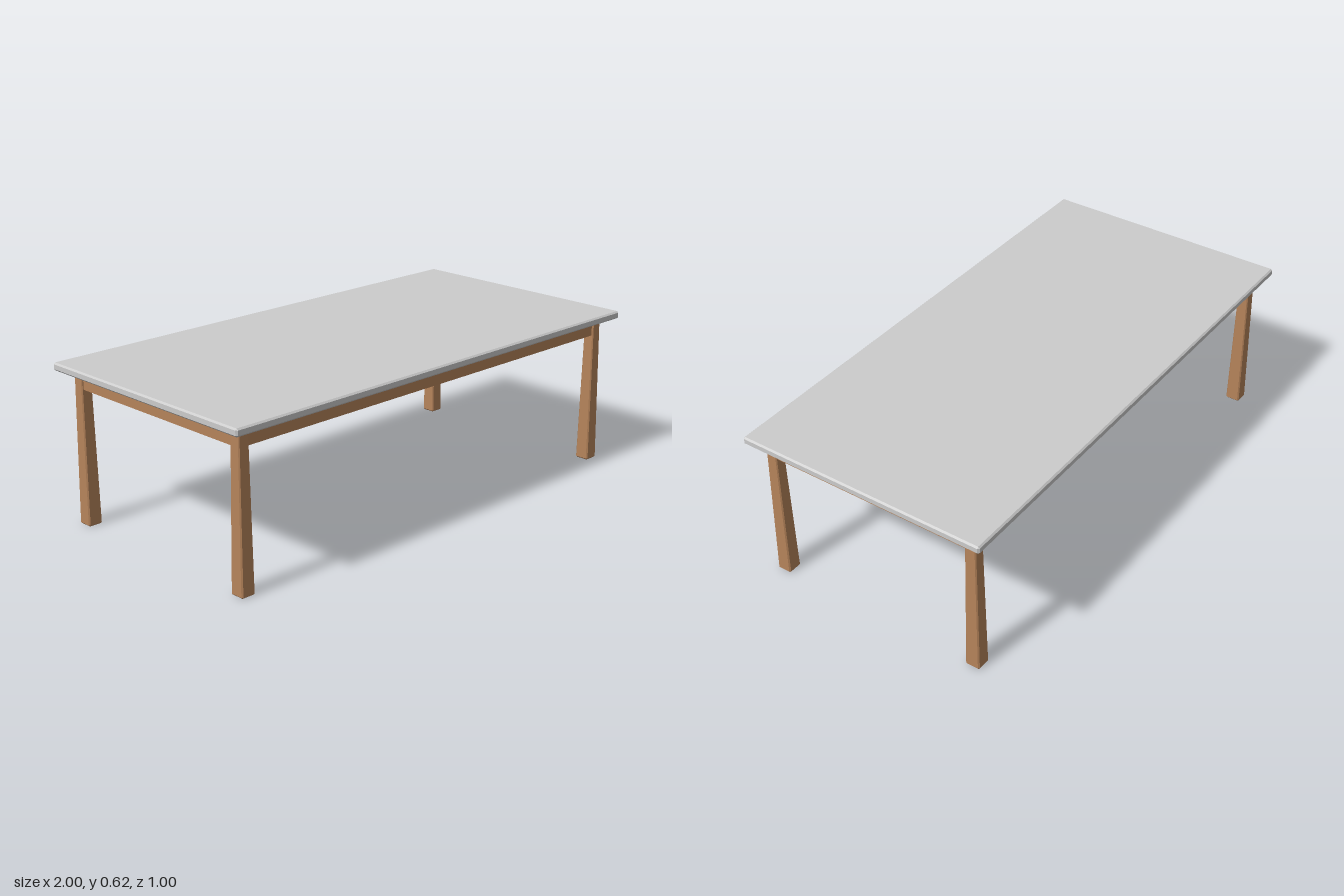
import * as THREE from 'three';
import { ConvexGeometry } from 'three/addons/geometries/ConvexGeometry.js';

const wood = new THREE.MeshStandardMaterial({ color: 0xb5835a, flatShading: true });
const grey = new THREE.MeshStandardMaterial({ color: 0xcccccc, flatShading: true });

// Box with chamfered edges, standing on y = 0; its top is scaled by taper.
function chamferedBox(w, h, d, c, taper = 1) {
  const points = [];
  for (const sx of [-1, 1]) for (const sy of [-1, 1]) for (const sz of [-1, 1]) {
    for (let axis = 0; axis < 3; axis++) {
      // each corner becomes three points, one on each adjoining face
      const inset = [c, c, c];
      inset[axis] = 0;
      const s = sy > 0 ? taper : 1;
      points.push(new THREE.Vector3(
        sx * (w / 2 - inset[0]) * s,
        h / 2 + sy * (h / 2 - inset[1]),
        sz * (d / 2 - inset[2]) * s));
    }
  }
  return new ConvexGeometry(points);
}

export function createModel() {
  const table = new THREE.Group();
  table.name = 'table';
  const add = (name, geometry, material, x, y, z) => {
    const mesh = new THREE.Mesh(geometry, material);
    mesh.name = name;
    mesh.position.set(x, y, z);
    table.add(mesh);
  };

  const legX = 0.926, legZ = 0.426, topY = 0.588;

  // Tabletop
  add('tabletop', chamferedBox(2, 0.03, 1, 0.006), grey, 0, topY, 0);

  // Tapered legs, wider at the foot
  const leg = chamferedBox(0.058, topY, 0.058, 0.005, 0.74);
  for (const [sideX, x] of [['Left', legX], ['Right', -legX]])
    for (const [sideZ, z] of [['front', legZ], ['back', -legZ]])
      add(`${sideZ}${sideX}Leg`, leg, wood, x, 0, z);

  // Aprons running between the legs under the top
  const apronY = 0.524, apronHeight = topY - apronY, thickness = 0.03;
  const longApron = new THREE.BoxGeometry(2 * legX - 0.03, apronHeight, thickness);
  const shortApron = new THREE.BoxGeometry(thickness, apronHeight, 2 * legZ - 0.03);
  const y = apronY + apronHeight / 2;
  add('frontApron', longApron, wood, 0, y, legZ);
  add('backApron', longApron, wood, 0, y, -legZ);
  add('leftApron', shortApron, wood, legX, y, 0);
  add('rightApron', shortApron, wood, -legX, y, 0);

  return table;
}
